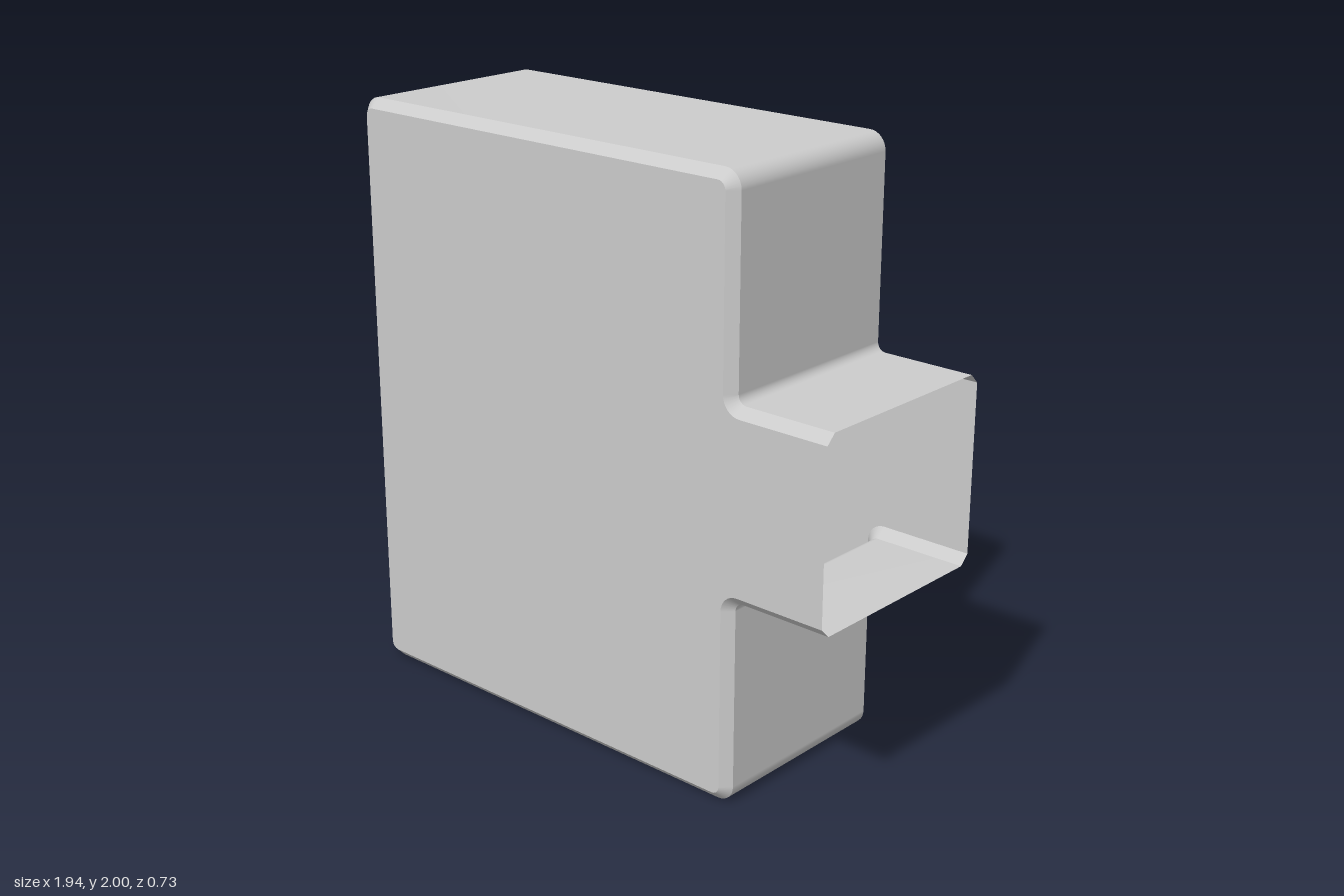
import * as THREE from 'three';

const LEFT = -0.968, RIGHT = 0.62, END = 0.968; // body sides and open neck end
const TOP = 2, MID = 1, NECK = 0.313;           // body height, neck half height
const DEPTH = 0.367, BEVEL = 0.032;             // half depth, chamfer size
const R = 0.06, FILLET = 0.03;                  // outer corners, neck fillets
const STEPS = 8;

// Open outline, counter-clockwise from the neck's upper lip to its lower lip
function outline(inset) {
  const pts = [new THREE.Vector2(END, MID + NECK - inset)];
  const arc = (cx, cy, r, from, to) => {
    for (let i = 0; i <= STEPS; i++) {
      const a = THREE.MathUtils.degToRad(from + (to - from) * i / STEPS);
      pts.push(new THREE.Vector2(cx + r * Math.cos(a), cy + r * Math.sin(a)));
    }
  };
  arc(RIGHT + FILLET, MID + NECK + FILLET, FILLET + inset, 270, 180);
  arc(RIGHT - R, TOP - R, R - inset, 0, 90);
  arc(LEFT + R, TOP - R, R - inset, 90, 180);
  arc(LEFT + R, R, R - inset, 180, 270);
  arc(RIGHT - R, R, R - inset, 270, 360);
  arc(RIGHT + FILLET, MID - NECK - FILLET, FILLET + inset, 180, 90);
  pts.push(new THREE.Vector2(END, MID - NECK + inset));
  return pts;
}

// Strip of wall between two outlines at different depths
function strip(back, zBack, front, zFront) {
  const pos = [], index = [];
  back.forEach((p, i) => {
    pos.push(p.x, p.y, zBack, front[i].x, front[i].y, zFront);
    if (i < back.length - 1) {
      const a = 2 * i;
      index.push(a, a + 2, a + 1, a + 1, a + 2, a + 3);
    }
  });
  const g = new THREE.BufferGeometry();
  g.setAttribute('position', new THREE.Float32BufferAttribute(pos, 3));
  g.setIndex(index);
  g.computeVertexNormals();
  return g;
}

export function createModel() {
  const group = new THREE.Group();
  group.name = 'openNeckCase';
  const material = new THREE.MeshStandardMaterial({ color: 0xcccccc, side: THREE.DoubleSide });
  const add = (name, geometry) => {
    const mesh = new THREE.Mesh(geometry, material);
    mesh.name = name;
    group.add(mesh);
  };

  const outer = outline(0), inner = outline(BEVEL);
  const edge = DEPTH - BEVEL;

  // Side wall and the chamfers that join it to the panels
  add('sideWall', strip(outer, -edge, outer, edge));
  add('frontChamfer', strip(outer, edge, inner, DEPTH));
  add('backChamfer', strip(inner, -DEPTH, outer, -edge));

  // Flat panels; the neck end stays open
  const panel = new THREE.ShapeGeometry(new THREE.Shape(inner));
  add('frontPanel', panel.clone().translate(0, 0, DEPTH));
  add('backPanel', panel.clone().rotateX(Math.PI).translate(0, TOP, -DEPTH));

  return group;
}
